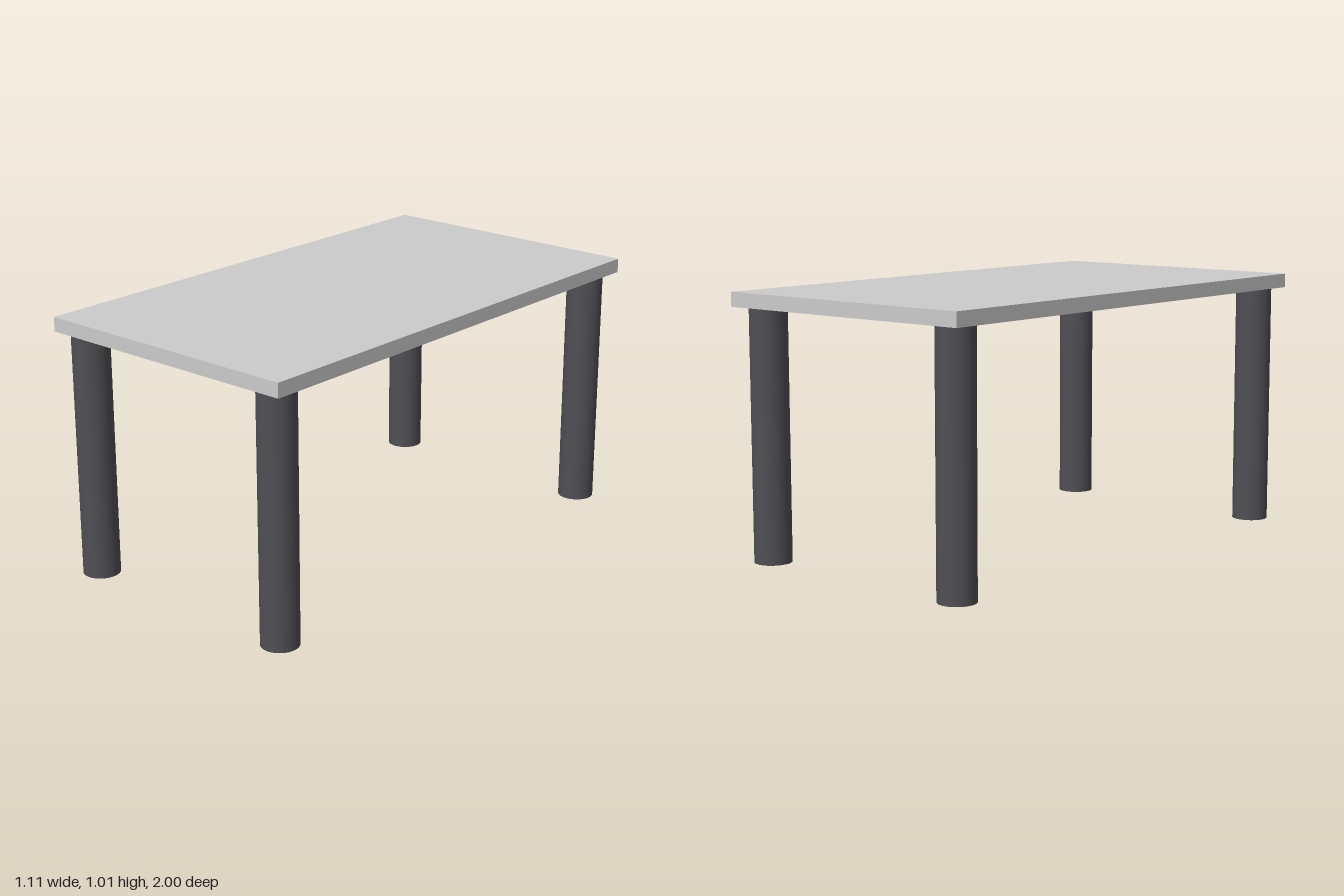
import * as THREE from 'three';

export function createModel() {
  const group = new THREE.Group();
  const topMaterial = new THREE.MeshStandardMaterial({ color: 0xcccccc });
  const legMaterial = new THREE.MeshStandardMaterial({ color: 0x505055 });

  const legHeight = 0.955;
  const topThickness = 0.055;

  // Rectangular slab, long along z
  const top = new THREE.Mesh(new THREE.BoxGeometry(1.105, topThickness, 2), topMaterial);
  top.name = 'tableTop';
  top.position.y = legHeight + topThickness / 2;
  group.add(top);

  // Round legs near the four corners
  const legGeometry = new THREE.CylinderGeometry(0.071, 0.071, legHeight, 48);
  for (const [end, z] of [['front', 0.91], ['back', -0.903]]) {
    for (const [side, x] of [['Left', 0.461], ['Right', -0.461]]) {
      const leg = new THREE.Mesh(legGeometry, legMaterial);
      leg.name = `${end}${side}Leg`;
      leg.position.set(x, legHeight / 2, z);
      group.add(leg);
    }
  }
  return group;
}
